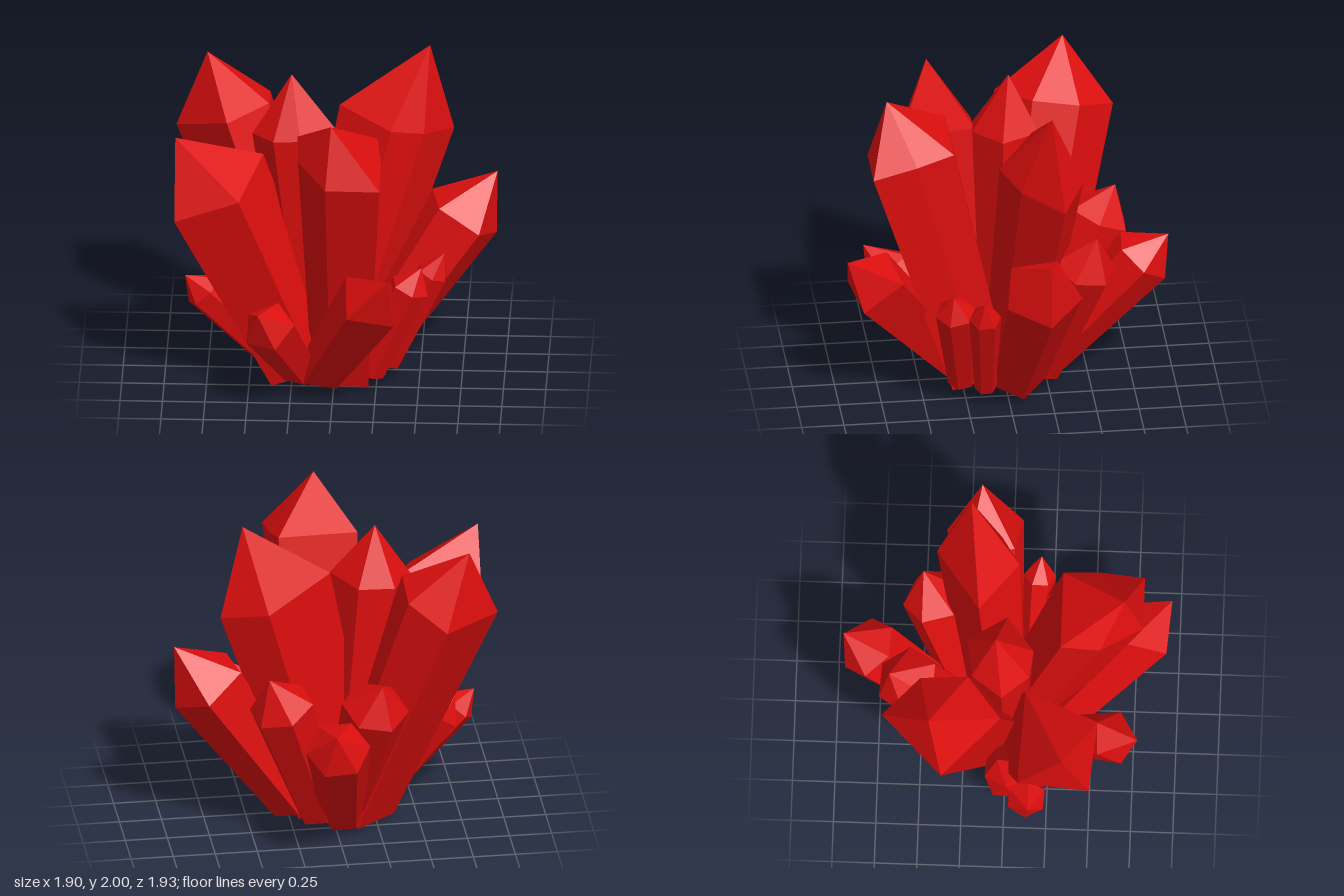
import * as THREE from 'three';

const TAPER = 0.7; // width of the foot compared with the shoulder

// One crystal: a tapered shaft from foot to shoulder, closed by a faceted point.
// arms run from the shoulder centre to its corners, anticlockwise from above.
function crystalGeometry(foot, shoulder, apex, arms) {
  const high = arms.map((arm) => shoulder.clone().add(arm));
  const low = arms.map((arm) => {
    const corner = foot.clone().addScaledVector(arm, TAPER);
    corner.y = Math.max(corner.y, 0);
    return corner;
  });
  const points = [];
  for (let i = 0; i < arms.length; i++) {
    const j = (i + 1) % arms.length;
    points.push(low[i], low[j], high[j], low[i], high[j], high[i]); // shaft
    points.push(high[i], high[j], apex); // point
    points.push(low[j], low[i], foot); // underside
  }
  const geometry = new THREE.BufferGeometry().setFromPoints(points);
  geometry.computeVertexNormals();
  return geometry;
}

// Uneven crystal: ring holds the shoulder corners as x, z; they lie square to the axis
function unevenCrystal({ base, tip, height, ring }) {
  const foot = new THREE.Vector3(base[0], 0.08, base[1]);
  const shoulder = new THREE.Vector3(0, height, 0);
  for (const [x, z] of ring) {
    shoulder.x += x / ring.length;
    shoulder.z += z / ring.length;
  }
  const axis = shoulder.clone().sub(foot);
  const arms = ring.map(([x, z]) => {
    const dx = x - shoulder.x, dz = z - shoulder.z;
    return new THREE.Vector3(dx, -(dx * axis.x + dz * axis.z) / axis.y, dz);
  });
  return crystalGeometry(foot, shoulder, new THREE.Vector3(...tip), arms);
}

// Even crystal: length is the shaft's share of the height, yaw turns the corners
function evenCrystal({ base, tip, length = 0.82, radius, sides = 6, yaw }) {
  const foot = new THREE.Vector3(base[0], 0.11, base[1]);
  const apex = new THREE.Vector3(...tip);
  // The shoulder sits slightly inside the line to the tip, so tips lean outward
  const shoulder = foot.clone().lerp(apex, length * 0.96);
  shoulder.y = THREE.MathUtils.lerp(foot.y, apex.y, length);
  const axis = shoulder.clone().sub(foot).normalize();
  const angle = THREE.MathUtils.degToRad(yaw);
  const spoke = new THREE.Vector3(Math.cos(angle), 0, Math.sin(angle)).projectOnPlane(axis).setLength(radius);
  const arms = Array.from({ length: sides }, (_, i) => spoke.clone().applyAxisAngle(axis, (i / sides) * Math.PI * 2));
  return crystalGeometry(foot, shoulder, apex, arms);
}

// Tall crystals in the middle
const tall = [
  { name: 'tallestCrystal', base: [0, -0.06], tip: [0.55, 2, -0.23], height: 1.53,
    ring: [[0.69, -0.29], [0.42, -0.43], [0.02, -0.17], [0.33, 0.06], [0.52, -0.05]] },
  { name: 'centreCrystal', base: [-0.12, -0.01], tip: [-0.26, 1.875, -0.06], height: 1.53,
    ring: [[0, 0], [-0.14, -0.23], [-0.36, -0.2], [-0.49, -0.02], [-0.36, 0.14], [-0.2, 0.16]] },
  { name: 'frontTallCrystal', base: [0.05, 0.15], tip: [0, 1.88, 0.69], height: 1.58,
    ring: [[0.29, 0.54], [0.26, 0.32], [-0.21, 0.32], [-0.2, 0.55], [-0.03, 0.8], [0.29, 0.8]] },
  { name: 'rightTallCrystal', base: [-0.21, 0.12], tip: [-0.93, 1.64, 0.35], height: 1.29,
    ring: [[-0.42, 0.12], [-0.92, 0.09], [-0.93, 0.51], [-0.55, 0.55]] },
  { name: 'backTallCrystal', base: [-0.12, -0.11], tip: [-0.77, 1.84, -0.44], height: 1.52,
    ring: [[-0.4, -0.5], [-0.6, -0.72], [-0.95, -0.36], [-0.64, -0.02], [-0.4, -0.22]] },
];

// Middle-sized crystals around them
const middle = [
  { name: 'leftCrystal', base: [0.2, -0.06], tip: [0.95, 1.215, -0.18], length: 0.76, radius: 0.24, sides: 5, yaw: -10 },
  { name: 'backLowCrystal', base: [-0.04, -0.27], tip: [0.09, 0.94, -0.97], radius: 0.19, yaw: 0 },
  { name: 'backRightCrystal', base: [-0.08, -0.2], tip: [-0.22, 1.12, -0.69], radius: 0.2, yaw: 188 },
  { name: 'backLeftCrystal', base: [0.09, -0.22], tip: [0.43, 1.12, -0.51], length: 0.79, radius: 0.195, yaw: -98 },
  { name: 'frontLowCrystal', base: [-0.08, 0.28], tip: [0.34, 1, 0.96], length: 0.77, radius: 0.205, sides: 4, yaw: 120 },
];

// Small crystals at the rim
const small = [
  { name: 'frontRightSmallCrystal', base: [-0.2, 0.25], tip: [-0.43, 0.69, 0.78], length: 0.77, radius: 0.16, sides: 5, yaw: 88 },
  { name: 'frontLeftSmallCrystal', base: [0.22, 0.27], tip: [0.52, 0.82, 0.35], radius: 0.12, yaw: 80 },
  { name: 'leftSmallCrystal', base: [0.32, 0.14], tip: [0.65, 0.84, 0.18], radius: 0.095, yaw: 27 },
  { name: 'rightSmallCrystal', base: [-0.36, 0.09], tip: [-0.88, 0.66, 0.15], radius: 0.12, yaw: 180 },
  { name: 'rightSmallestCrystal', base: [-0.3, -0.02], tip: [-0.75, 0.685, 0.02], radius: 0.125, yaw: 208 },
];

export function createModel() {
  const group = new THREE.Group();
  group.name = 'crystalCluster';
  const red = new THREE.MeshStandardMaterial({ color: 0xdd0e0e });
  red.name = 'crystalRed';

  const grow = (crystals, shape) => {
    for (const crystal of crystals) {
      const mesh = new THREE.Mesh(shape(crystal), red);
      mesh.name = crystal.name;
      group.add(mesh);
    }
  };
  grow(tall, unevenCrystal);
  grow(middle, evenCrystal);
  grow(small, evenCrystal);
  return group;
}
